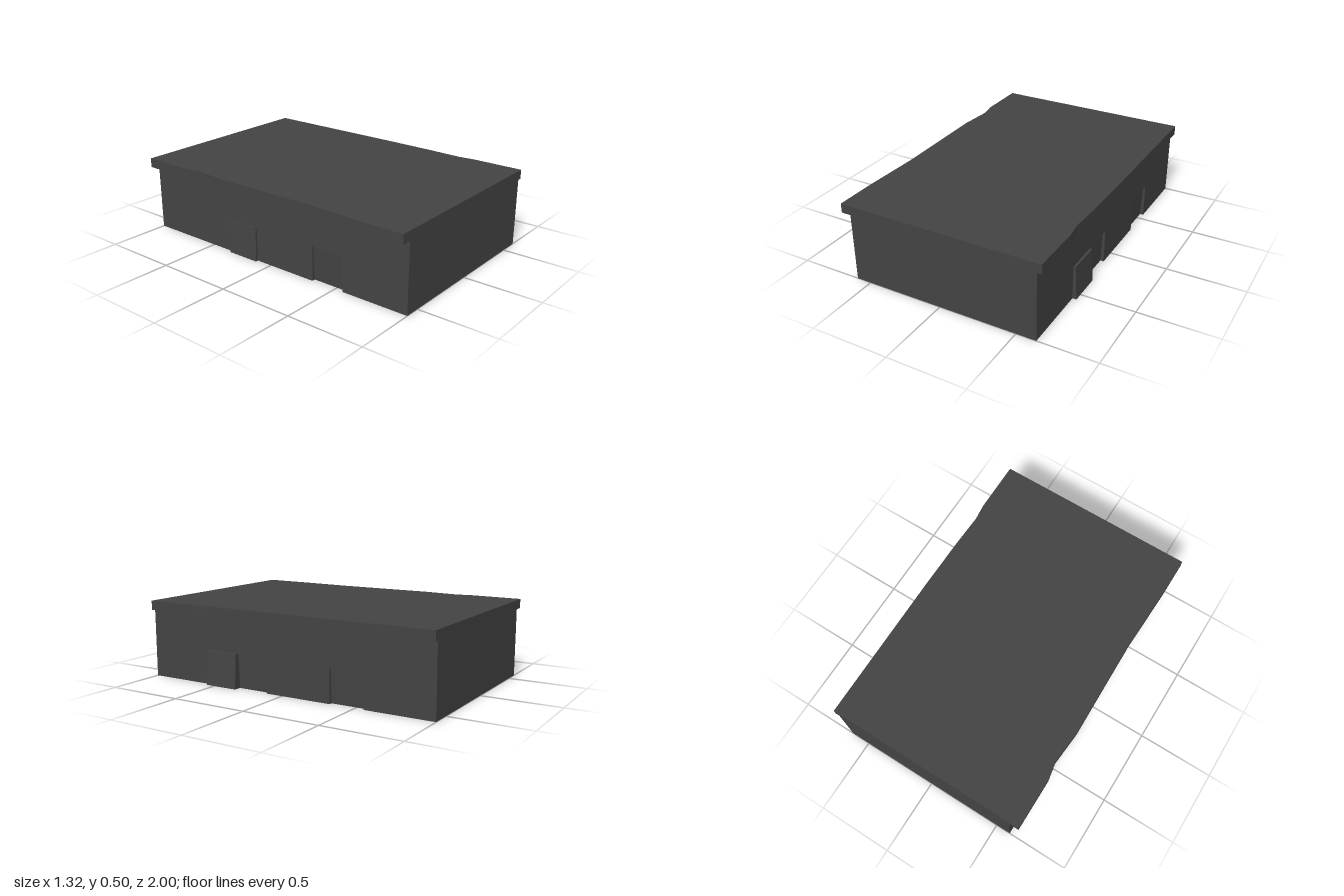
import * as THREE from 'three';

const TOP = 0.5, EAVE = 0.44, DOOR = 0.22;
const material = new THREE.MeshStandardMaterial({ color: 0x444444, side: THREE.DoubleSide, flatShading: true });

// Each side: wall distance, uneven roof edge as [z, x], doors as
// [front z, back z, offset at the top, offset at the foot]
const SIDES = [
  {
    name: 'left', s: 1, wall: 0.627,
    edge: [[1, 0.655], [0.667, 0.655], [0.555, 0.643], [0.333, 0.651], [0, 0.655], [-1, 0.655]],
    doors: [[0.556, 0.333, 0.014, 0.026], [0.333, 0.111, -0.014, -0.022], [-0.333, -0.556, -0.014, -0.022]],
  },
  {
    name: 'right', s: -1, wall: 0.597,
    edge: [[1, 0.66], [0.75, 0.66], [0.333, 0.647], [0.111, 0.65], [-0.333, 0.658], [-0.555, 0.64], [-0.667, 0.66], [-1, 0.66]],
    doors: [[0.556, 0.333, -0.012, -0.022], [-0.111, -0.333, 0.008, 0.018]],
  },
];

// Mesh from four-cornered faces, mirrored to the side s
function faces(name, quads, s) {
  const pos = [];
  for (const q of quads) {
    const [a, b, c, d] = s > 0 ? q : [...q].reverse();
    for (const [x, y, z] of [a, b, c, a, c, d]) pos.push(s * x, y, z);
  }
  const geo = new THREE.BufferGeometry();
  geo.setAttribute('position', new THREE.Float32BufferAttribute(pos, 3));
  geo.computeVertexNormals();
  const mesh = new THREE.Mesh(geo, material);
  mesh.name = name;
  return mesh;
}

// Upright face from z0 (front) to z1 (back); foot and head give x and y
const upright = (z0, z1, xFoot, yFoot, xHead, yHead) =>
  [[xFoot, yFoot, z0], [xFoot, yFoot, z1], [xHead, yHead, z1], [xHead, yHead, z0]];

function buildSide({ name, s, wall, edge, doors }) {
  const group = new THREE.Group();
  group.name = name + 'Side';

  // Wall with openings left for the doors
  const wallQuads = [];
  let z = 1;
  for (const [z0, z1] of doors) {
    if (z > z0) wallQuads.push(upright(z, z0, wall, 0, wall, EAVE));
    wallQuads.push(upright(z0, z1, wall, DOOR, wall, EAVE));
    z = z1;
  }
  wallQuads.push(upright(z, -1, wall, 0, wall, EAVE));
  group.add(faces(name + 'Wall', wallQuads, s));

  // Leaning doors, standing out of or set into the wall, with jambs and lintel
  for (const [z0, z1, head, foot] of doors) {
    const xh = wall + head, xf = wall + foot;
    group.add(faces(name + 'Door', [
      upright(z0, z1, xf, 0, xh, DOOR),
      [[wall, 0, z0], [xf, 0, z0], [xh, DOOR, z0], [wall, DOOR, z0]],
      [[xf, 0, z1], [wall, 0, z1], [wall, DOOR, z1], [xh, DOOR, z1]],
      [[xh, DOOR, z0], [xh, DOOR, z1], [wall, DOOR, z1], [wall, DOOR, z0]],
    ], s));
  }

  // Overhanging eave: fascia and soffit along the uneven edge
  const fascia = [], soffit = [];
  for (let i = 0; i < edge.length - 1; i++) {
    const [z0, x0] = edge[i], [z1, x1] = edge[i + 1];
    fascia.push([[x0, EAVE, z0], [x1, EAVE, z1], [x1, TOP, z1], [x0, TOP, z0]]);
    soffit.push([[wall, EAVE, z0], [wall, EAVE, z1], [x1, EAVE, z1], [x0, EAVE, z0]]);
  }
  group.add(faces(name + 'Fascia', fascia, s), faces(name + 'Soffit', soffit, s));
  return group;
}

function flat(name, points) {
  const shape = new THREE.Shape(points.map(([x, y]) => new THREE.Vector2(x, y)));
  const mesh = new THREE.Mesh(new THREE.ShapeGeometry(shape), material);
  mesh.name = name;
  return mesh;
}

export function createModel() {
  const model = new THREE.Group();
  model.name = 'building';
  for (const side of SIDES) model.add(buildSide(side));
  const [l, r] = SIDES;

  // Flat roof
  const roof = flat('roof', [
    ...l.edge.map(([z, x]) => [x, -z]),
    ...[...r.edge].reverse().map(([z, x]) => [-x, -z]),
  ]);
  roof.rotation.x = -Math.PI / 2;
  roof.position.y = TOP;
  model.add(roof);

  // End walls, flush with the roof
  const le = l.edge[0][1], re = r.edge[0][1];
  const outline = [
    [-r.wall, 0], [l.wall, 0], [l.wall, EAVE], [le, EAVE],
    [le, TOP], [-re, TOP], [-re, EAVE], [-r.wall, EAVE],
  ];
  const front = flat('frontWall', outline);
  front.position.z = 1;
  const back = flat('backWall', outline.map(([x, y]) => [-x, y]));
  back.rotation.y = Math.PI;
  back.position.z = -1;
  model.add(front, back);
  return model;
}
